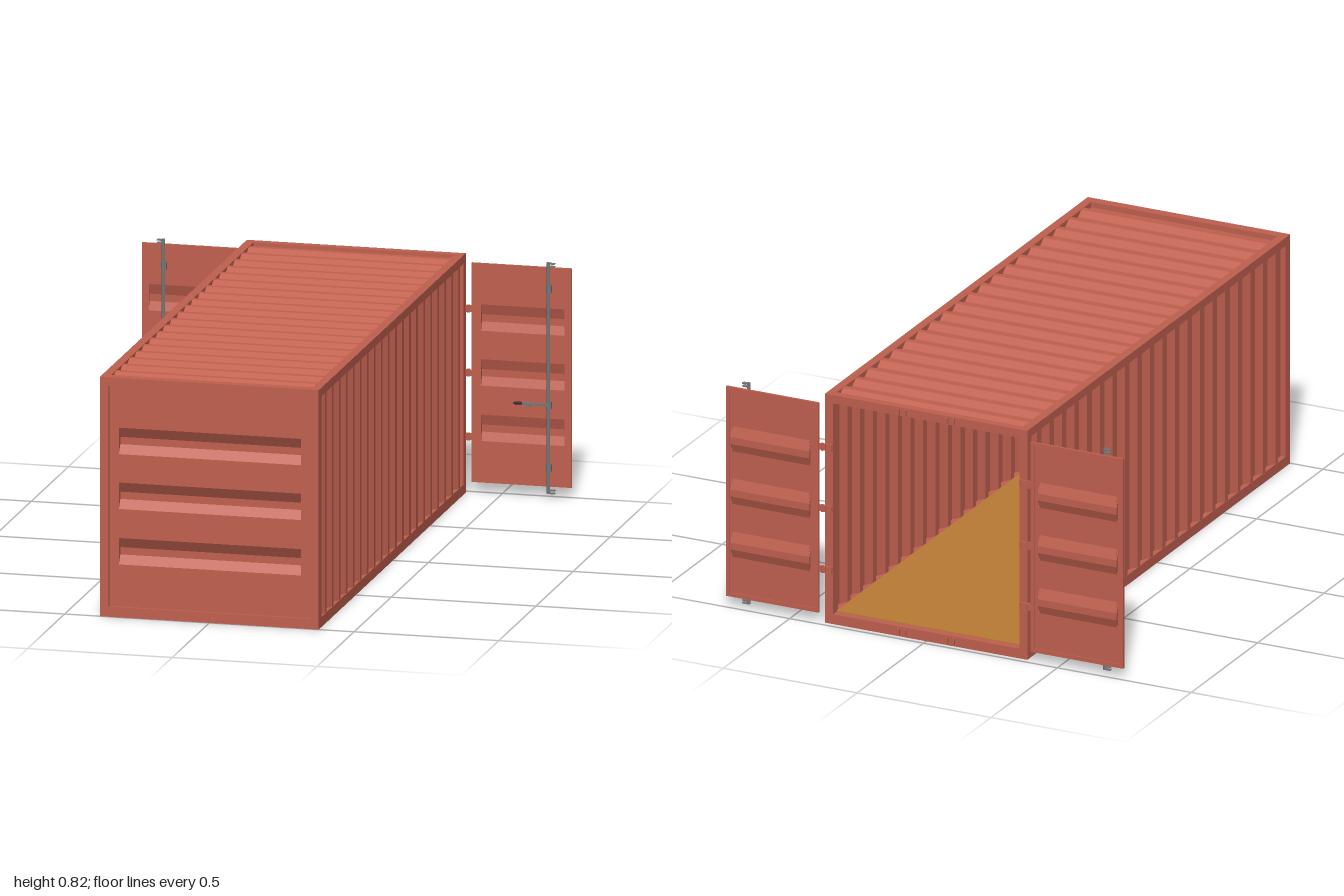
import * as THREE from 'three';

const paint = new THREE.MeshStandardMaterial({ color: 0xc0604f });
const wood = new THREE.MeshStandardMaterial({ color: 0xb87a35 });
const steel = new THREE.MeshStandardMaterial({ color: 0x777777 });
const black = new THREE.MeshStandardMaterial({ color: 0x222222 });

// overall body limits and beam size
const HX = 0.378, TOP = 0.825, Z0 = -0.98, Z1 = 1, B = 0.03;
const THICK = 0.005;
const axis = (x, y, z) => new THREE.Vector3(x, y, z);

function add(parent, name, geometry, material = paint) {
  const mesh = new THREE.Mesh(geometry, material);
  mesh.name = name;
  parent.add(mesh);
  return mesh;
}

// box given by its limits on each axis
function block(parent, name, x0, x1, y0, y1, z0, z1, material) {
  const g = new THREE.BoxGeometry(Math.abs(x1 - x0), y1 - y0, z1 - z0);
  g.translate((x0 + x1) / 2, (y0 + y1) / 2, (z0 + z1) / 2);
  return add(parent, name, g, material);
}

// upright rod
function rod(parent, name, x, z, y0, y1, r, material) {
  const g = new THREE.CylinderGeometry(r, r, y1 - y0, 12);
  g.translate(x, (y0 + y1) / 2, z);
  return add(parent, name, g, material);
}

// extrude a (position, height) outline; "along" and "out" give its directions
function sweep(outline, length, along, out, origin) {
  const shape = new THREE.Shape(outline.map(([a, b]) => new THREE.Vector2(a, b)));
  const g = new THREE.ExtrudeGeometry(shape, { depth: length, bevelEnabled: false });
  g.translate(0, 0, -length / 2);
  const m = new THREE.Matrix4().makeBasis(along, out, along.clone().cross(out));
  return g.applyMatrix4(m.setPosition(origin));
}

// turn a surface line into a closed sheet of constant thickness
const sheet = (line) => [...line, ...line.map(([a, b]) => [a, b - THICK]).reverse()];

// ridged line running the length of the body: low at both ends, 20 ridges
function ridgeLine(depth) {
  const line = [[Z0 + B - 0.004, -depth]];
  for (let i = 0; i < 20; i++) {
    const z = -0.929 + i * 0.0945;
    line.push([z, -depth], [z + 0.024, 0], [z + 0.045, 0], [z + 0.072, -depth]);
  }
  line.push([Z1 - B, -depth]);
  return line;
}

// upright sheet facing +z with three pressed-in horizontal grooves
function groovedPanel(parent, name, x0, x1, y0, y1, g0, g1, z, depth) {
  const panel = new THREE.Group();
  panel.name = name;
  parent.add(panel);
  const up = axis(0, 1, 0), out = axis(0, 0, 1), mid = (g0 + g1) / 2;
  const line = [[y0, 0]];
  for (const y of [0.18, 0.371, 0.56]) {
    const groove = [[y, 0], [y + 0.03, -depth], [y + 0.055, -depth], [y + 0.091, 0]];
    line.push(...groove);
    // closed ends of the groove
    for (const x of [g0 - 0.0015, g1 + 0.0015]) {
      const end = [[y, 0], [y + 0.03, -depth - THICK], [y + 0.055, -depth - THICK], [y + 0.091, 0]];
      add(panel, 'grooveEnd', sweep(end, 0.003, up, out, axis(x, 0, z)));
    }
  }
  line.push([y1, 0]);
  add(panel, 'groovedSheet', sweep(sheet(line), g1 - g0, up, out, axis(mid, 0, z)));
  block(panel, 'panelEdge', x0, g0, y0, y1, z - THICK, z);
  block(panel, 'panelEdge', g1, x1, y0, y1, z - THICK, z);
}

function buildBody(root) {
  const body = new THREE.Group();
  body.name = 'body';
  root.add(body);

  // twelve frame beams
  for (const s of [-1, 1]) {
    const a = s * HX, b = s * (HX - B);
    block(body, 'cornerPost', a, b, 0, TOP, Z0, Z0 + B);
    block(body, 'cornerPost', a, b, 0, TOP, Z1 - 0.035, Z1);
    block(body, 'bottomRail', a, b, 0, 0.035, Z0, Z1);
    block(body, 'topRail', a, b, TOP - B, TOP, Z0, Z1);
  }
  for (const [z0, z1] of [[Z0, Z0 + B], [Z1 - 0.035, Z1]]) {
    block(body, 'crossSill', -HX, HX, 0, 0.035, z0, z1);
    block(body, 'crossHeader', -HX, HX, TOP - B, TOP, z0, z1);
  }

  // ridged roof, underside and side walls
  const skin = sheet(ridgeLine(0.018)), z = axis(0, 0, 1), inset = 0.001;
  const w = 2 * (HX - B) + 0.004, h = TOP - 0.065 + 0.004, midY = (TOP + 0.005) / 2;
  add(body, 'roof', sweep(skin, w, z, axis(0, 1, 0), axis(0, TOP - inset, 0)));
  add(body, 'underside', sweep(skin, w, z, axis(0, -1, 0), axis(0, inset, 0)));
  for (const s of [-1, 1])
    add(body, 'sideWall', sweep(skin, h, z, axis(s, 0, 0), axis(s * (HX - inset), midY, 0)));

  // closed end and wooden floor
  const p = HX - B + 0.002;
  groovedPanel(body, 'endWall', -p, p, 0.033, TOP - B + 0.002, -0.315, 0.315, Z1 - 0.01, 0.02);
  block(body, 'floor', -p, p, 0.03, 0.037, Z0 + B, Z1 - 0.035, wood);

  // lock keepers on the doorway frame
  for (const x of [-0.09, 0.09])
    for (const y of [0.017, TOP - 0.015])
      for (const dx of [-0.012, 0.012])
        block(body, 'lockKeeper', x + dx - 0.005, x + dx + 0.005, y - 0.011, y + 0.011, Z0 - 0.007, Z0);
}

// one door swung fully open, on the +x side
function buildDoor() {
  const door = new THREE.Group();
  door.name = 'door';
  const x0 = 0.396, x1 = 0.742, y0 = 0.037, y1 = 0.792, z = -0.984;
  groovedPanel(door, 'doorPanel', x0, x1, y0, y1, 0.43, 0.718, z, 0.011);

  // rim around the inner face
  const r = 0.014, zb = z - 0.009;
  block(door, 'doorRim', x0, x0 + r, y0, y1, zb, z - 0.001);
  block(door, 'doorRim', x1 - r, x1, y0, y1, zb, z - 0.001);
  block(door, 'doorRim', x0, x1, y0, y0 + r, zb, z - 0.001);
  block(door, 'doorRim', x0, x1, y1 - r, y1, zb, z - 0.001);

  // hinges: jamb pad, stepped arm and pin
  for (const y of [0.193, 0.413, 0.634]) {
    block(door, 'hingePad', 0.35, 0.38, y - 0.012, y + 0.012, Z0 - 0.006, Z0 + 0.001);
    block(door, 'hingeArm', 0.372, 0.412, y - 0.011, y + 0.011, Z0 - 0.007, Z0 - 0.001);
    block(door, 'hingeLeaf', 0.396, 0.431, y - 0.011, y + 0.011, z - 0.002, z + 0.003);
    rod(door, 'hingePin', 0.386, Z0 - 0.004, y - 0.013, y + 0.013, 0.005, paint);
  }

  // locking rod with guides and end cams
  const lx = 0.665, lz = -0.975;
  rod(door, 'lockRod', lx, lz, 0.015, 0.812, 0.006, steel);
  for (const y of [0.105, 0.32, 0.72]) {
    block(door, 'rodGuide', lx - 0.01, lx + 0.01, y - 0.012, y + 0.012, z, lz + 0.004, steel);
    rod(door, 'rodCollar', lx, lz, y - 0.014, y + 0.014, 0.008, steel);
  }
  for (const y of [0.022, 0.803])
    for (const dy of [-0.005, 0.005])
      block(door, 'rodCam', lx, lx + 0.022, y + dy - 0.002, y + dy + 0.002, lz - 0.006, lz + 0.006, steel);

  // swing handle with its catch and dark grip
  block(door, 'handle', 0.575, lx, 0.317, 0.326, lz + 0.002, lz + 0.007, steel);
  block(door, 'handleCatch', 0.588, 0.602, 0.311, 0.324, z, lz + 0.003, steel);
  const grip = new THREE.CapsuleGeometry(0.005, 0.022, 4, 10);
  grip.rotateZ(Math.PI / 2).translate(0.561, 0.322, lz + 0.004);
  add(door, 'handleGrip', grip, black);
  return door;
}

export function createModel() {
  const root = new THREE.Group();
  root.name = 'shippingContainer';
  buildBody(root);
  const left = buildDoor();
  left.name = 'leftDoor';
  const right = buildDoor();
  right.name = 'rightDoor';
  right.scale.x = -1;
  root.add(left, right);
  return root;
}
